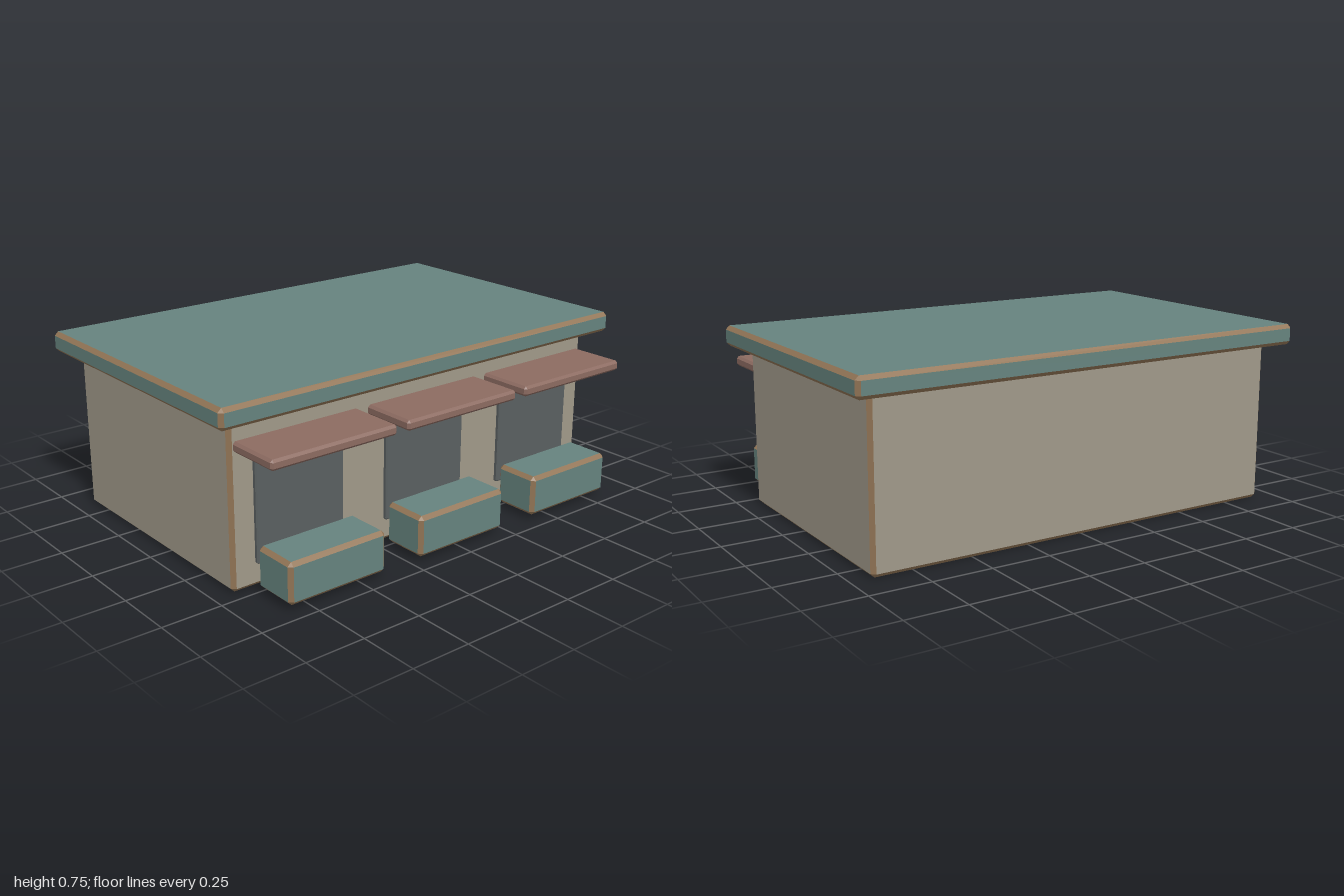
import * as THREE from 'three';

const mat = (name, color) => {
  const m = new THREE.MeshStandardMaterial({ color });
  m.name = name;
  return m;
};

// Chamfered box between two corners; group 0 = six faces, group 1 = bevelled edges and corners
function chamferBox(min, max, bevel) {
  const centre = min.map((v, i) => (v + max[i]) / 2);
  const half = min.map((v, i) => (max[i] - v) / 2);
  // Corner point belonging to the face on the given axis
  const point = (s, axis) => new THREE.Vector3(
    ...s.map((d, i) => d * (half[i] - (i === axis ? 0 : bevel))));
  const positions = [];
  const tri = (a, b, c) => {
    const n = b.clone().sub(a).cross(c.clone().sub(a));
    const outward = n.dot(a.clone().add(b).add(c)) > 0;
    for (const p of outward ? [a, b, c] : [a, c, b]) {
      positions.push(p.x + centre[0], p.y + centre[1], p.z + centre[2]);
    }
  };
  const quad = (a, b, c, d) => { tri(a, b, c); tri(a, c, d); };
  const signs = (u, su, v, sv, w, sw) => {
    const s = [0, 0, 0];
    s[u] = su; s[v] = sv; s[w] = sw;
    return s;
  };

  // Faces
  for (let a = 0; a < 3; a++) {
    const b = (a + 1) % 3, c = (a + 2) % 3;
    for (const s of [-1, 1]) {
      quad(...[[-1, -1], [1, -1], [1, 1], [-1, 1]].map(([p, q]) => point(signs(a, s, b, p, c, q), a)));
    }
  }
  const faceCount = positions.length / 3;

  // Edges running along each axis
  for (let a = 0; a < 3; a++) {
    const b = (a + 1) % 3, c = (a + 2) % 3;
    for (const p of [-1, 1]) for (const q of [-1, 1]) {
      const lo = signs(a, -1, b, p, c, q), hi = signs(a, 1, b, p, c, q);
      quad(point(lo, b), point(hi, b), point(hi, c), point(lo, c));
    }
  }
  // Corners
  for (const x of [-1, 1]) for (const y of [-1, 1]) for (const z of [-1, 1]) {
    tri(...[0, 1, 2].map(axis => point([x, y, z], axis)));
  }

  const g = new THREE.BufferGeometry();
  g.setAttribute('position', new THREE.Float32BufferAttribute(positions, 3));
  g.addGroup(0, faceCount, 0);
  g.addGroup(faceCount, positions.length / 3 - faceCount, 1);
  g.computeVertexNormals();
  return g;
}

export function createModel() {
  const wall = mat('wall stone', 0xa09989);
  const teal = mat('painted teal', 0x66837e);
  const trim = mat('edge trim', 0x927556);
  const clay = mat('awning clay', 0x8c6b61);
  const slate = mat('door slate', 0x5a6061);

  const model = new THREE.Group();
  model.name = 'shopBuilding';
  const add = (parent, name, min, max, bevel, face, edge) => {
    const mesh = new THREE.Mesh(chamferBox(min, max, bevel), [face, edge]);
    mesh.name = name;
    parent.add(mesh);
  };

  // Main block and overhanging roof
  add(model, 'body', [-0.92, 0, -0.62], [0.92, 0.67, 0.455], 0.016, wall, trim);
  add(model, 'roof', [-1, 0.67, -0.7], [1, 0.755, 0.535], 0.016, teal, trim);

  // Three shop bays: door, awning and planter
  ['right', 'middle', 'left'].forEach((side, i) => {
    const bay = new THREE.Group();
    bay.name = `${side}Bay`;
    bay.position.x = (i - 1) * 0.617;
    add(bay, 'door', [-0.202, 0.095, 0.445], [0.202, 0.527, 0.472], 0.005, slate, slate);
    add(bay, 'awning', [-0.283, 0.55, 0.43], [0.283, 0.592, 0.688], 0.01, clay, clay);
    add(bay, 'planter', [-0.223, 0.02, 0.5], [0.223, 0.19, 0.7], 0.016, teal, trim);
    model.add(bay);
  });

  return model;
}
